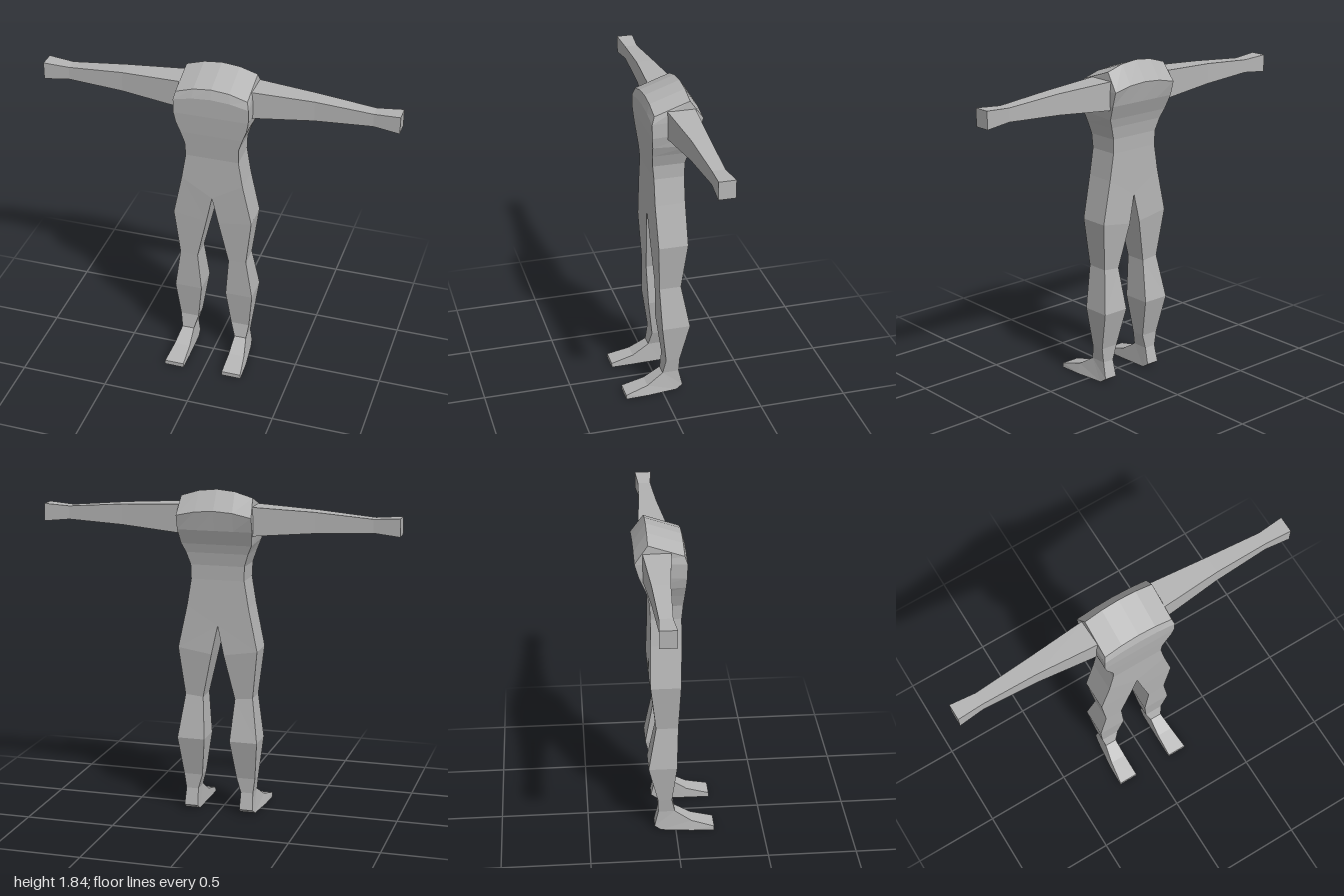
import * as THREE from 'three';

const grey = new THREE.MeshStandardMaterial({ color: 0xb4b4b4, flatShading: true });
grey.name = 'plain grey';

// Skin a row of closed rings (counterclockwise seen from the far end) and cap both ends.
function loft(name, rings, mirror = false) {
  const src = mirror ? rings.map(r => r.map(([x, y, z]) => [-x, y, z])) : rings;
  const pos = [];
  const tri = (a, b, c) => pos.push(...a, ...(mirror ? c : b), ...(mirror ? b : c));
  const quad = (a, b, c, d) => { tri(a, b, c); tri(a, c, d); };
  const n = src[0].length;
  for (let i = 0; i < src.length - 1; i++) {
    for (let j = 0; j < n; j++) {
      const k = (j + 1) % n;
      quad(src[i][j], src[i][k], src[i + 1][k], src[i + 1][j]);
    }
  }
  const first = src[0], last = src[src.length - 1];
  for (let j = 0; j < n / 2 - 1; j++) {
    quad(last[j], last[j + 1], last[n - 2 - j], last[n - 1 - j]);
    quad(first[n - 1 - j], first[n - 2 - j], first[j + 1], first[j]);
  }
  const geo = new THREE.BufferGeometry();
  geo.setAttribute('position', new THREE.Float32BufferAttribute(pos, 3));
  geo.computeVertexNormals();
  const mesh = new THREE.Mesh(geo, grey);
  mesh.name = name;
  return mesh;
}

// Torso ring: five columns across the front and back, with the middle raised or lowered.
function torsoRing([yFront, yBack, w, zFront, zBack, lift = 0, power = 2]) {
  const cols = [-1, -0.5, 0, 0.5, 1];
  const rise = t => lift * (1 - Math.abs(t) ** power);
  return [
    ...cols.map(t => [t * w, yFront + rise(t), zFront]),
    ...cols.map(t => [-t * w, yBack + rise(t), zBack]),
  ];
}

// Leg ring: heights and x of the inner and outer edges, then front and back z.
const legRing = ([yIn, yOut, xIn, xOut, zF, zB]) => [
  [xIn, yIn, zF], [xOut, yOut, zF], [xOut, yOut, zB], [xIn, yIn, zB],
];

// Arm ring: x, bottom and top, front and back.
const armRing = ([x, y0, y1, zF, zB]) => [[x, y0, zF], [x, y0, zB], [x, y1, zB], [x, y1, zF]];

// Foot ring: bottom and top edge, each with its own z and width.
const footRing = ([z0, y0, in0, out0, z1, y1, in1, out1]) => [
  [in0, y0, z0], [out0, y0, z0], [out1, y1, z1], [in1, y1, z1],
];

export function createModel() {
  const body = new THREE.Group();
  body.name = 'body';

  // Torso from the V of the hips to the sloping shoulders
  body.add(loft('torso', [
    [1.19, 1.19, 0.175, 0.035, -0.135, -0.107, 1],
    [1.34, 1.34, 0.15, 0.035, -0.135],
    [1.42, 1.42, 0.152, 0.043, -0.138],
    [1.49, 1.49, 0.175, 0.05, -0.15],
    [1.55, 1.54, 0.198, 0.055, -0.165],
    [1.61, 1.62, 0.21, 0.06, -0.198],
    [1.69, 1.70, 0.21, 0.062, -0.22, 0.03],
    [1.733, 1.8, 0.2, 0.047, -0.148, 0.04],
  ].map(torsoRing)));

  for (const [side, mirror] of [['left', false], ['right', true]]) {
    const add = (part, rings) => body.add(loft(side + part, rings, mirror));

    // Arm
    add('UpperArm', [[0.18, 1.595, 1.755, -0.022, -0.178], [0.54, 1.624, 1.738, -0.053, -0.152]].map(armRing));
    add('Forearm', [[0.54, 1.624, 1.738, -0.053, -0.152], [0.855, 1.638, 1.712, -0.066, -0.137]].map(armRing));
    add('Hand', [[0.855, 1.638, 1.712, -0.066, -0.137], [1.0, 1.624, 1.722, -0.055, -0.147]].map(armRing));

    // Leg
    add('Thigh', [
      [0.665, 0.675, 0.092, 0.194, 0.015, -0.11],
      [0.92, 0.95, 0.035, 0.226, 0.028, -0.14],
      [1.083, 1.19, 0, 0.175, 0.035, -0.135],
    ].map(legRing));
    add('Calf', [
      [0.12, 0.12, 0.125, 0.195, -0.005, -0.1],
      [0.205, 0.205, 0.1, 0.207, -0.022, -0.102],
      [0.43, 0.43, 0.073, 0.23, 0.006, -0.155],
      [0.665, 0.675, 0.092, 0.194, 0.015, -0.11],
    ].map(legRing));

    // Foot, from heel to toe
    add('Foot', [
      [-0.122, 0.025, 0.122, 0.2, -0.1, 0.12, 0.125, 0.195],
      [-0.085, 0, 0.12, 0.205, -0.005, 0.12, 0.125, 0.195],
      [0.09, 0, 0.116, 0.225, 0.09, 0.06, 0.12, 0.212],
      [0.22, 0, 0.115, 0.23, 0.22, 0.025, 0.117, 0.228],
    ].map(footRing));
  }
  return body;
}
